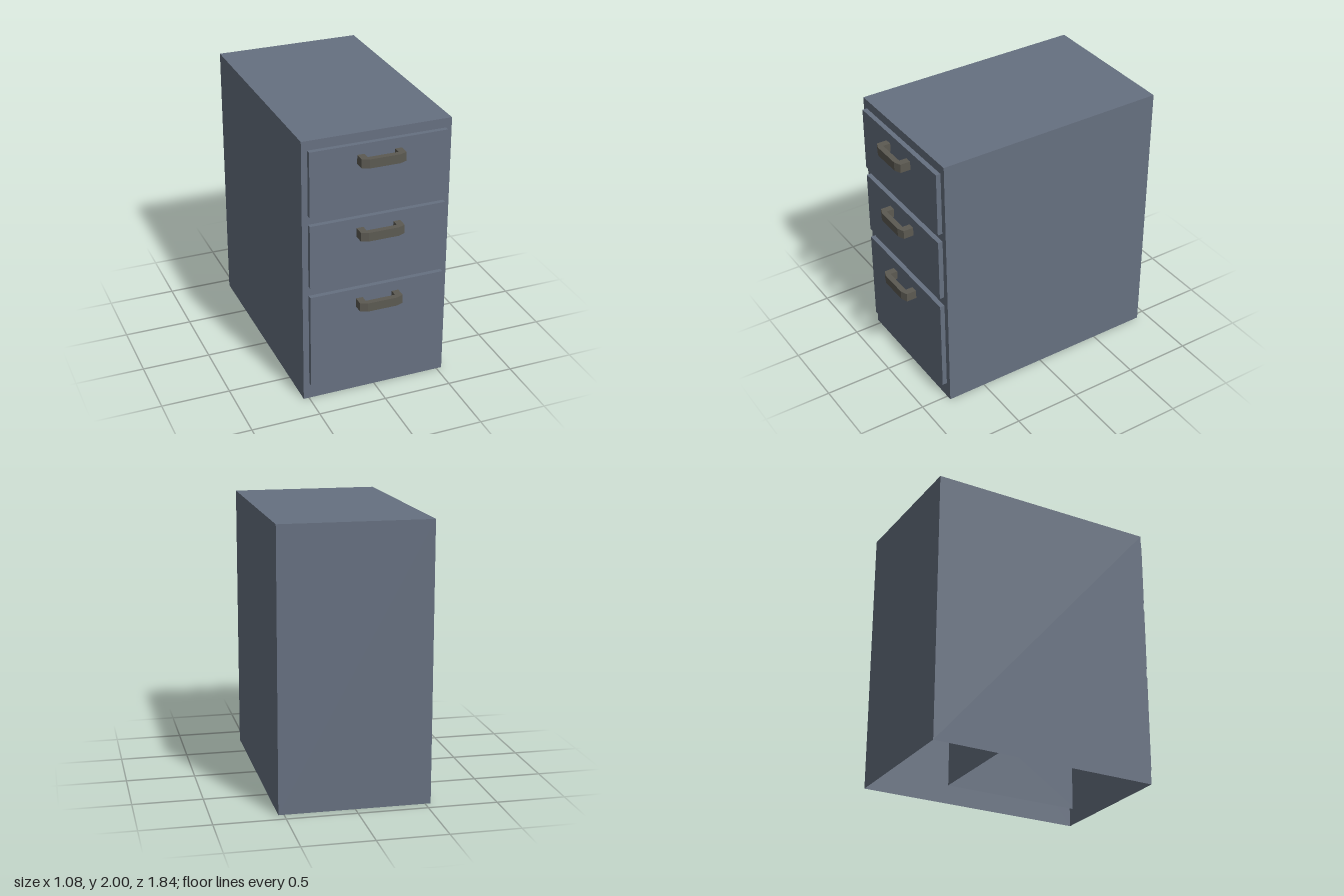
import * as THREE from 'three';

// Box between two corners, with no underside
function openBox(material, name, [x0, y0, z0], [x1, y1, z1]) {
  const geometry = new THREE.BoxGeometry(x1 - x0, y1 - y0, z1 - z0);
  const index = Array.from(geometry.index.array);
  index.splice(18, 6); // the fourth face is the underside
  geometry.setIndex(index);
  geometry.clearGroups();
  geometry.translate((x0 + x1) / 2, (y0 + y1) / 2, (z0 + z1) / 2);
  const mesh = new THREE.Mesh(geometry, material);
  mesh.name = name;
  return mesh;
}

// U-shaped pull with chamfered outer corners, drawn in plan and extruded downwards
function handleGeometry(height) {
  const plan = [
    [-0.16, 0.825], [-0.11, 0.825], [-0.11, 0.88], [0.11, 0.88], [0.11, 0.825],
    [0.16, 0.825], [0.16, 0.9], [0.11, 0.92], [-0.11, 0.92], [-0.16, 0.9],
  ];
  const shape = new THREE.Shape(plan.map(([x, z]) => new THREE.Vector2(x, z)));
  const geometry = new THREE.ExtrudeGeometry(shape, { depth: height, bevelEnabled: false });
  return geometry.rotateX(Math.PI / 2);
}

export function createModel() {
  const group = new THREE.Group();
  group.name = 'drawerCabinet';

  const steel = new THREE.MeshStandardMaterial({ color: 0x667080, side: THREE.DoubleSide });
  steel.name = 'blueGreySteel';
  const metal = new THREE.MeshStandardMaterial({ color: 0x5c5a52 });
  metal.name = 'darkHandleMetal';

  // Hollow cabinet shell, open underneath
  group.add(openBox(steel, 'cabinet', [-0.54, 0, -0.92], [0.54, 2, 0.79]));

  // Drawers pass through the front and run partway back
  const drawers = [
    { name: 'topDrawer', bottom: 1.455, top: 1.932, handleTop: 1.858 },
    { name: 'middleDrawer', bottom: 0.915, top: 1.39, handleTop: 1.316 },
    { name: 'bottomDrawer', bottom: 0.125, top: 0.842, handleTop: 0.766 },
  ];
  const pull = handleGeometry(0.065);
  for (const { name, bottom, top, handleTop } of drawers) {
    group.add(openBox(steel, name, [-0.497, bottom, -0.28], [0.497, top, 0.825]));
    const handle = new THREE.Mesh(pull, metal);
    handle.name = name + 'Handle';
    handle.position.y = handleTop;
    group.add(handle);
  }
  return group;
}
